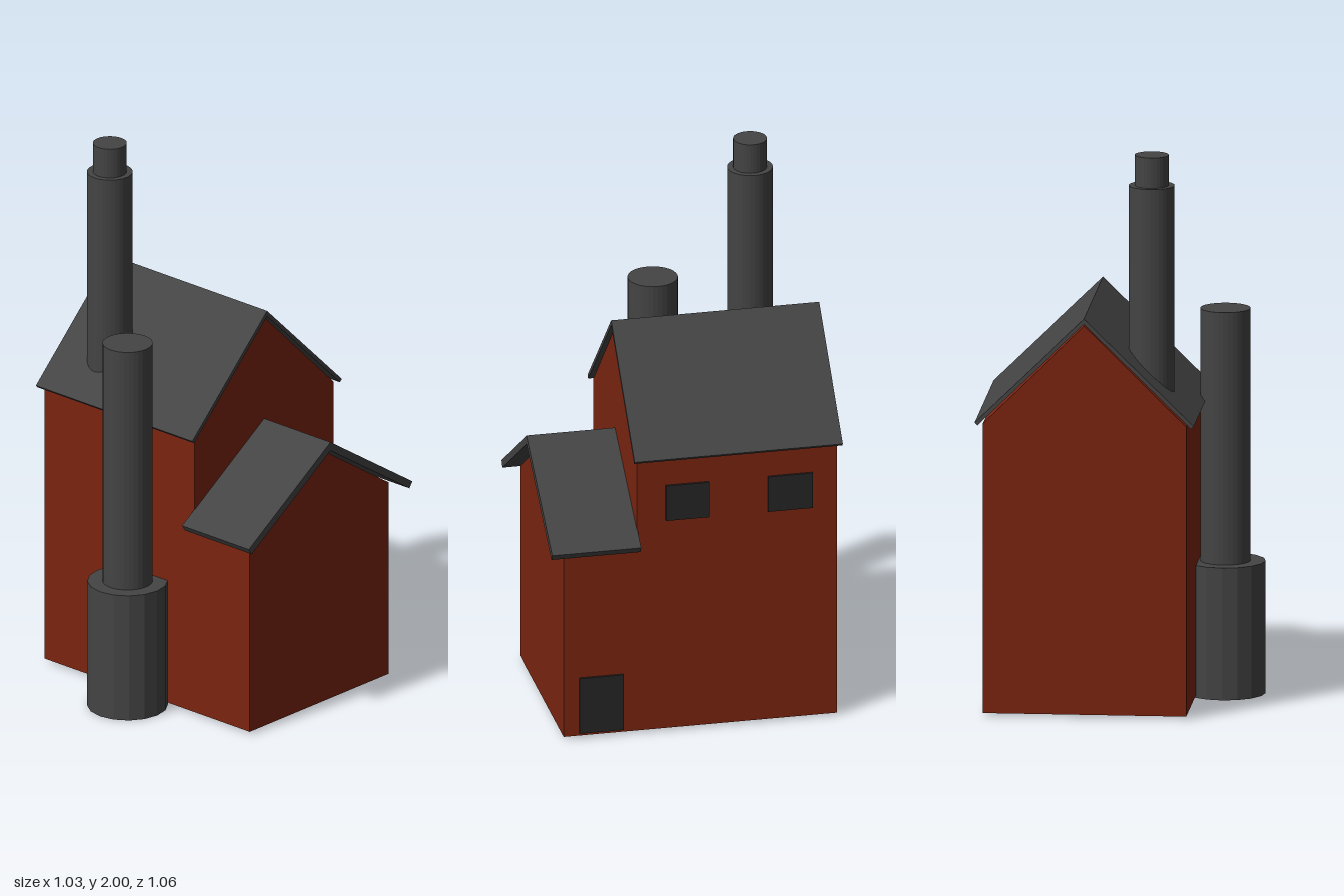
import * as THREE from 'three';

const brick = new THREE.MeshStandardMaterial({ color: 0x7a2410 });
brick.name = 'brick red';
const slate = new THREE.MeshStandardMaterial({ color: 0x444444, flatShading: true });
slate.name = 'slate grey';
const glass = new THREE.MeshStandardMaterial({ color: 0x262626 });
glass.name = 'dark glass';

const RIDGE_X = 0.086;

export function createModel() {
  const group = new THREE.Group();

  const add = (name, geometry, material) => {
    const mesh = new THREE.Mesh(geometry, material);
    mesh.name = name;
    group.add(mesh);
    return mesh;
  };

  // Extrudes an outline centred on the ridge from z0 to z1
  const extrude = (name, points, z0, z1, material) => {
    const shape = new THREE.Shape(points.map(([x, y]) => new THREE.Vector2(x, y)));
    const geometry = new THREE.ExtrudeGeometry(shape, { depth: z1 - z0, bevelEnabled: false });
    add(name, geometry, material).position.set(RIDGE_X, 0, z0);
  };

  // Gabled walls, as a five-sided outline
  const walls = (name, half, eave, peak, z0, z1) =>
    extrude(name, [[-half, 0.01], [half, 0.01], [half, eave], [0, peak], [-half, eave]], z0, z1, brick);

  // Two-slope roof slab with ends cut square to the slope
  const roof = (name, half, eave, peak, thick, z0, z1) => {
    const drop = peak - eave;
    const length = Math.hypot(half, drop);
    const dx = thick * drop / length;
    const dy = thick * half / length;
    const inner = peak - thick * length / half;
    extrude(name, [
      [half, eave], [0, peak], [-half, eave],
      [-half + dx, eave - dy], [0, inner], [half - dx, eave - dy],
    ], z0, z1, slate);
  };

  walls('mainWalls', 0.362, 1.056, 1.415, -0.515, 0.21);
  walls('annexWalls', 0.362, 0.745, 0.985, 0.21, 0.475);
  roof('mainRoof', 0.39, 1.062, 1.443, 0.014, -0.53, 0.224);
  roof('annexRoof', 0.426, 0.745, 1.026, 0.027, 0.208, 0.53);

  // Round chimney sections
  const pipe = (name, x, z, radius, y0, y1, sides) =>
    add(name, new THREE.CylinderGeometry(radius, radius, y1 - y0, sides), slate)
      .position.set(x, (y0 + y1) / 2, z);

  pipe('roofChimney', -0.137, -0.328, 0.081, 1.0, 1.89, 32);
  pipe('roofChimneyCap', -0.137, -0.328, 0.06, 1.89, 2.0, 32);
  pipe('sideStackBase', -0.371, -0.026, 0.143, 0, 0.478, 16);
  pipe('sideStack', -0.371, -0.026, 0.089, 0.478, 1.39, 32);

  // Windows and door on the +x wall
  const panel = (name, z, y, width, height) =>
    add(name, new THREE.BoxGeometry(0.009, height, width), glass)
      .position.set(RIDGE_X + 0.362 + 0.0045, y, z);

  panel('frontWindow', 0.028, 0.883, 0.156, 0.135);
  panel('rearWindow', -0.345, 0.883, 0.162, 0.135);
  panel('door', 0.339, 0.127, 0.16, 0.213);

  return group;
}
